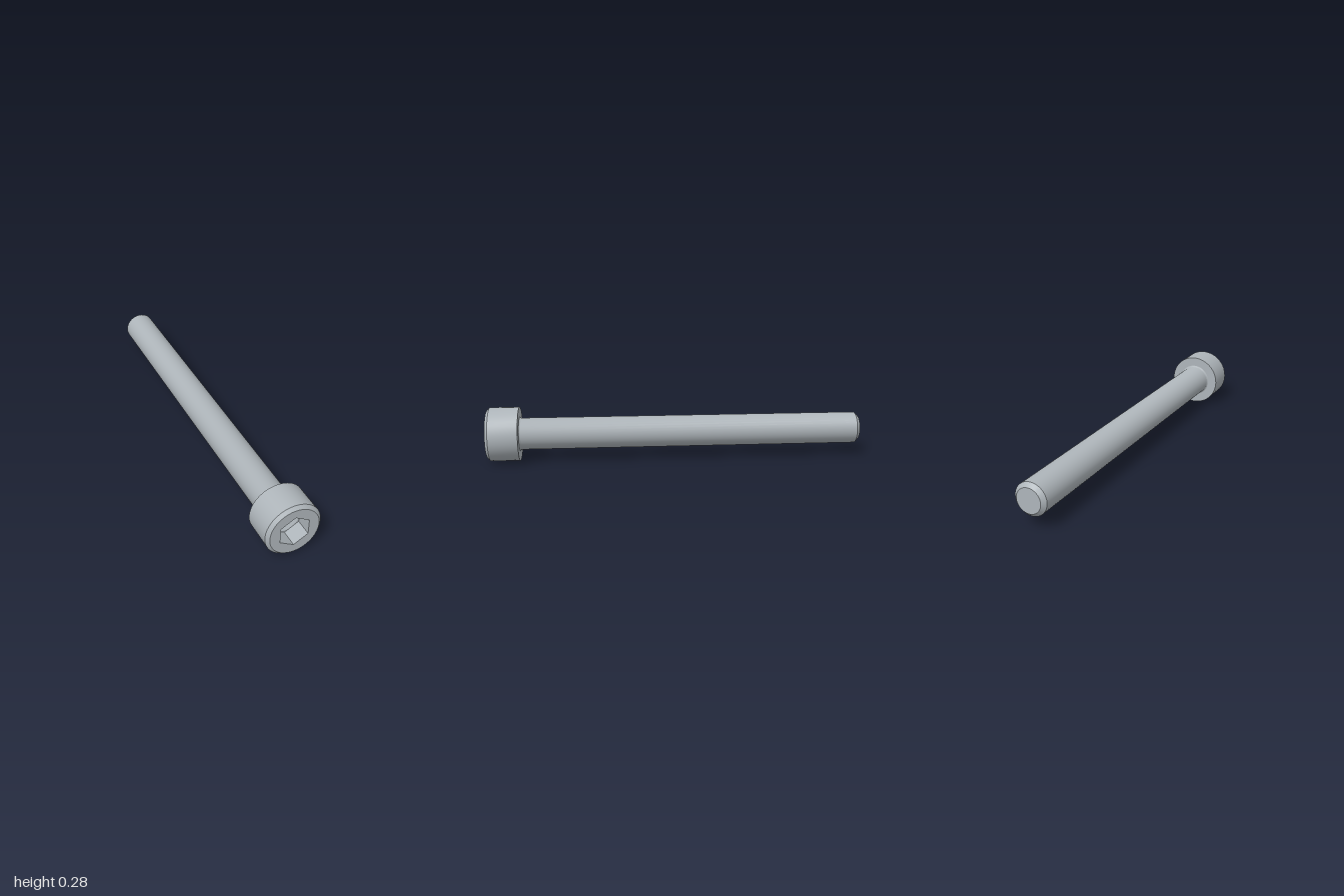
import * as THREE from 'three';
import { toCreasedNormals } from 'three/addons/utils/BufferGeometryUtils.js';

const SIDES = 36;
const HEAD_R = 0.1425, FACE_R = 0.126, SHANK_R = 0.084, TIP_R = 0.064;
const HEAD_BACK = 0.83, FILLET = 0.008;
const HEX_R = 0.083, HEX_FLAT = HEX_R * Math.cos(Math.PI / 6);
const SOCKET_Z = 0.915, DRILL_Z = 0.874;

export function createModel() {
  const bolt = new THREE.Group();
  bolt.name = 'socketHeadBolt';
  bolt.position.y = HEAD_R;

  const steel = new THREE.MeshStandardMaterial({ color: 0xaeb5ba });
  steel.name = 'steel';

  const add = (name, geometry) => {
    const mesh = new THREE.Mesh(geometry, steel);
    mesh.name = name;
    bolt.add(mesh);
  };

  // Turned part along z, from [radius, z] pairs
  const turn = (points, sides = SIDES, crease = 0.6) => {
    const profile = points.map(([r, z]) => new THREE.Vector2(r, z));
    const geometry = new THREE.LatheGeometry(profile, sides).rotateX(Math.PI / 2);
    return toCreasedNormals(geometry, crease);
  };

  const circle = (path, r) => path.absarc(0, 0, r, 0, Math.PI * 2, false);
  const hexagon = (path) => path.setFromPoints(Array.from({ length: 6 }, (_, i) => {
    const a = Math.PI / 2 + i * Math.PI / 3;
    return new THREE.Vector2(HEX_R * Math.cos(a), HEX_R * Math.sin(a));
  }));
  const plate = (outline, hole, z) => {
    outline.holes.push(hole);
    return new THREE.ShapeGeometry(outline, SIDES / 2).translate(0, 0, z);
  };

  // Shank with chamfered tip and a small fillet under the head
  const fillet = [0, 1, 2, 3].map((i) => {
    const a = i * Math.PI / 6;
    return [SHANK_R + FILLET * (1 - Math.cos(a)), HEAD_BACK - FILLET * (1 - Math.sin(a))];
  });
  add('shank', turn([[0, -1], [TIP_R, -1], [SHANK_R, -0.98], ...fillet]));

  // Head: bearing face, side and front chamfer
  add('head', turn([
    [SHANK_R + FILLET, HEAD_BACK], [HEAD_R, HEAD_BACK], [HEAD_R, 0.984], [FACE_R, 1],
  ]));
  add('headFace', plate(circle(new THREE.Shape(), FACE_R), hexagon(new THREE.Path()), 1));

  // Hexagonal socket with a conical drilled bottom
  add('socketWalls', turn([[HEX_R, 1], [HEX_R, SOCKET_Z]], 6));
  add('socketFloor', plate(hexagon(new THREE.Shape()), circle(new THREE.Path(), HEX_FLAT - 0.0003), SOCKET_Z));
  add('socketCone', turn([[HEX_FLAT, SOCKET_Z], [0, DRILL_Z]]));

  const model = new THREE.Group();
  model.name = 'model';
  model.add(bolt);
  return model;
}
